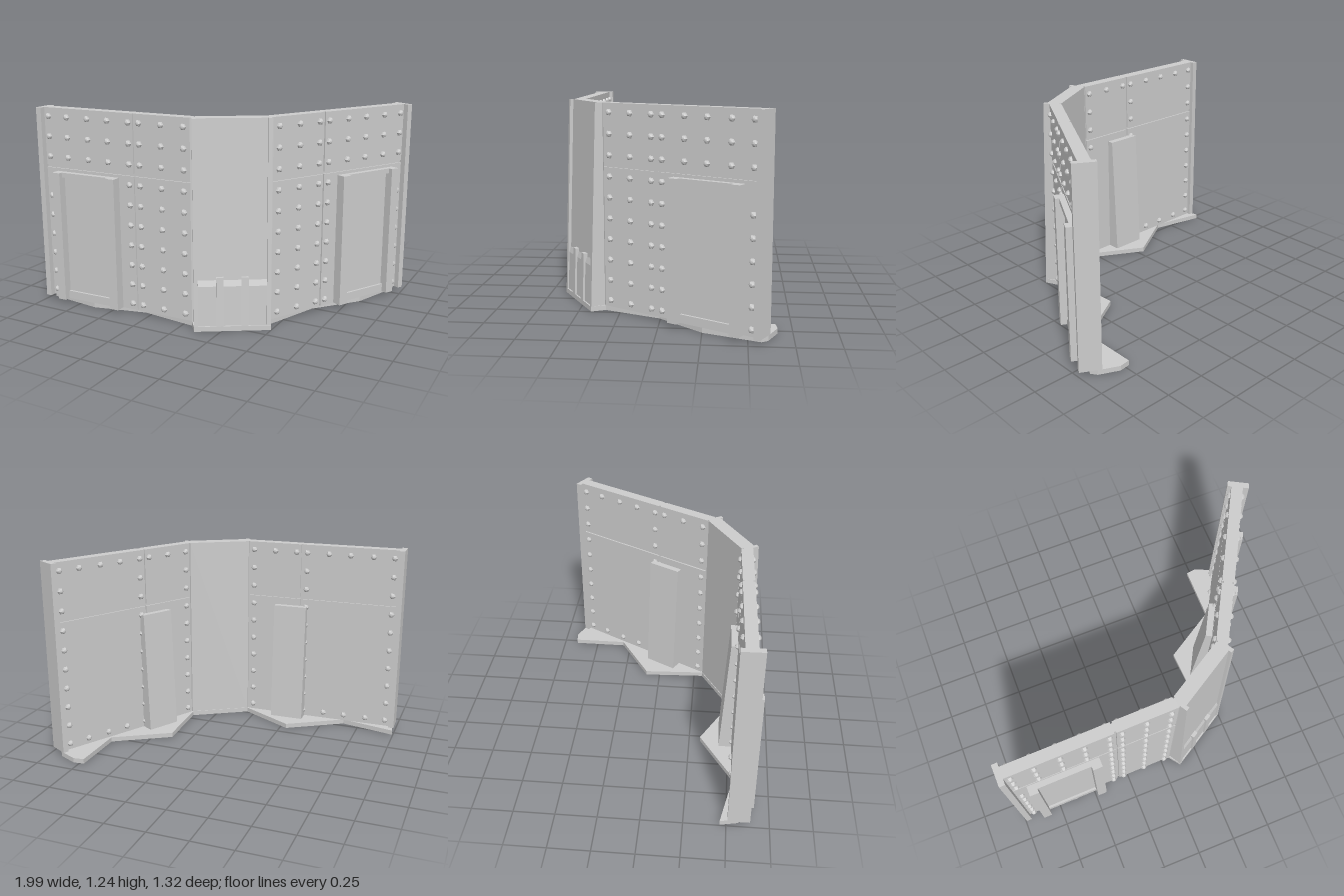
import * as THREE from 'three';
import { mergeGeometries } from 'three/addons/utils/BufferGeometryUtils.js';

const mat = new THREE.MeshStandardMaterial({ color: 0xcccccc, flatShading: true });
const FLOOR = 0.03, TOP = 1.24, BEND = Math.PI / 6;

function add(parent, name, geometry) {
  const mesh = new THREE.Mesh(geometry, mat);
  mesh.name = name;
  parent.add(mesh);
  return mesh;
}

// Box given by its limits on each axis
function box(parent, name, x0, x1, y0, y1, z0, z1) {
  const g = new THREE.BoxGeometry(Math.abs(x1 - x0), y1 - y0, z1 - z0);
  g.translate((x0 + x1) / 2, (y0 + y1) / 2, (z0 + z1) / 2);
  return add(parent, name, g);
}

const toShape = pts => new THREE.Shape(pts.map(p => new THREE.Vector2(...p)));

// Side profile [z, y] extruded along x and centred on cx
function profile(parent, name, pts, cx, width) {
  const g = new THREE.ExtrudeGeometry(toShape(pts), { depth: width, bevelEnabled: false });
  g.translate(0, 0, -width / 2).rotateY(-Math.PI / 2).translate(cx, 0, 0);
  return add(parent, name, g);
}

// Plan outline [x, -z] raised from y0 to y1
function plan(parent, name, pts, y0, y1) {
  const g = new THREE.ExtrudeGeometry(toShape(pts), { depth: y1 - y0, bevelEnabled: false });
  g.rotateX(-Math.PI / 2).translate(0, y0, 0);
  return add(parent, name, g);
}

// Rivet domes at [x, y], on the face at depth z, pointing along dir
function rivets(parent, name, spots, z, dir) {
  const list = spots.map(([x, y]) => new THREE.SphereGeometry(0.02, 6, 3, 0, Math.PI * 2, 0, Math.PI / 2)
    .rotateX(dir * Math.PI / 2).translate(x, y, z));
  return add(parent, name, mergeGeometries(list));
}

const COLS = [0.042, 0.19, 0.337, 0.41, 0.557, 0.7, 0.85, 0.985];
const ROWS = Array.from({ length: 10 }, (_, i) => 0.07 + i * 0.124);

function wall(side, plateBack) {
  const g = new THREE.Group();
  g.name = side > 0 ? 'leftWall' : 'rightWall';
  const b = (name, s0, s1, y0, y1, z0, z1) => box(g, name, side * s0, side * s1, y0, y1, z0, z1);

  // core with raised panels on both faces, leaving seams between them
  b('wallCore', 0, 1.02, FLOOR, TOP, -0.06, -0.01);
  for (const [s0, s1] of [[0, 0.368], [0.38, 1.02]])
    for (const [y0, y1] of [[FLOOR, 0.868], [0.884, TOP]]) {
      b('frontPanel', s0, s1, y0, y1, -0.01, 0);
      b('backPanel', Math.max(s0, 0.01), s1, y0, y1, -0.07, -0.06);
    }
  b('endPost', 1.015, 1.05, FLOOR, TOP, -0.095, 0.035);

  // door: two posts, lintel, sill and a shallow leaf
  b('doorPost', 0.485, 0.545, FLOOR, 0.85, 0, 0.06);
  b('doorPost', 0.88, 0.935, FLOOR, 0.85, 0, 0.06);
  b('doorLintel', 0.545, 0.88, 0.82, 0.85, 0, 0.035);
  b('doorSill', 0.545, 0.88, FLOOR, 0.08, 0, 0.022);
  b('doorLeaf', 0.545, 0.88, 0.08, 0.82, 0, 0.008);

  // rivets
  const front = [], back = [];
  COLS.forEach((s, c) => ROWS.forEach((y, r) => {
    const overDoor = c >= 4 && c <= 6;
    if (r >= 7 || !(overDoor || (c === 7 && r === 6))) front.push([side * s, y]);
    const column = c === 0 || c === 3 || c === 7;
    if (column || r === 9 || (r === 0 && c > 3)) back.push([side * s, y]);
  }));
  rivets(g, 'frontRivets', front, 0, 1);
  rivets(g, 'backRivets', back, -0.07, -1);

  // leaning support behind the wall
  profile(g, 'backSupport', [[-0.065, FLOOR], [-0.15, FLOOR], [-0.11, 0.82], [-0.065, 0.82]], side * 0.31, 0.22);

  // zigzag foot plate
  const edge = [[0, 0], [0.355, 0.05], [0.69, -0.02], [1.03, 0.03], ...plateBack, [0, 0.075]];
  plan(g, 'footPlate', edge.map(([s, d]) => [side * s, d]), 0, FLOOR);

  g.position.set(side * 0.235, 0, -0.057);
  g.rotation.y = side * BEND;
  return g;
}

function corner() {
  const g = new THREE.Group();
  g.name = 'cornerSection';
  plan(g, 'cornerCore', [[-0.235, 0.057], [0.235, 0.057], [0.2, 0.118], [-0.2, 0.118]], FLOOR, TOP);

  // sloping face between two ribs
  const slope = (name, top, bottom, cx, w, h = TOP) =>
    profile(g, name, [[-0.06, FLOOR], [bottom, FLOOR], [top, h], [-0.06, h]], cx, w);
  slope('slopingFace', -0.032, 0.014, 0, 0.41);
  for (const m of [-1, 1]) {
    slope('sideRib', -0.012, 0.032, m * 0.213, 0.024);
    slope('footBracket', 0.026, 0.038, m * 0.073, 0.042, 0.325);
  }
  profile(g, 'lowerPanel', [[-0.03, FLOOR], [0.025, FLOOR], [0.016, 0.27], [0.004, 0.305], [-0.03, 0.305]], 0, 0.4);
  plan(g, 'cornerPlate', [[-0.235, 0.057], [-0.225, -0.034], [0.225, -0.034], [0.235, 0.057], [0.2, 0.122], [-0.2, 0.122]], 0, FLOOR);
  return g;
}

export function createModel() {
  const model = new THREE.Group();
  model.name = 'rivetedCornerWall';
  const body = new THREE.Group();
  body.name = 'wallAssembly';
  body.add(
    corner(),
    wall(1, [[1.05, 0.07], [1.04, 0.2], [1.0, 0.255], [0.69, 0.085], [0.34, 0.285]]),
    wall(-1, [[1.05, 0.14], [0.7, 0.06], [0.345, 0.27]]),
  );
  body.rotation.y = THREE.MathUtils.degToRad(31);
  body.position.set(0.288, 0, 0.512);
  model.add(body);
  return model;
}
